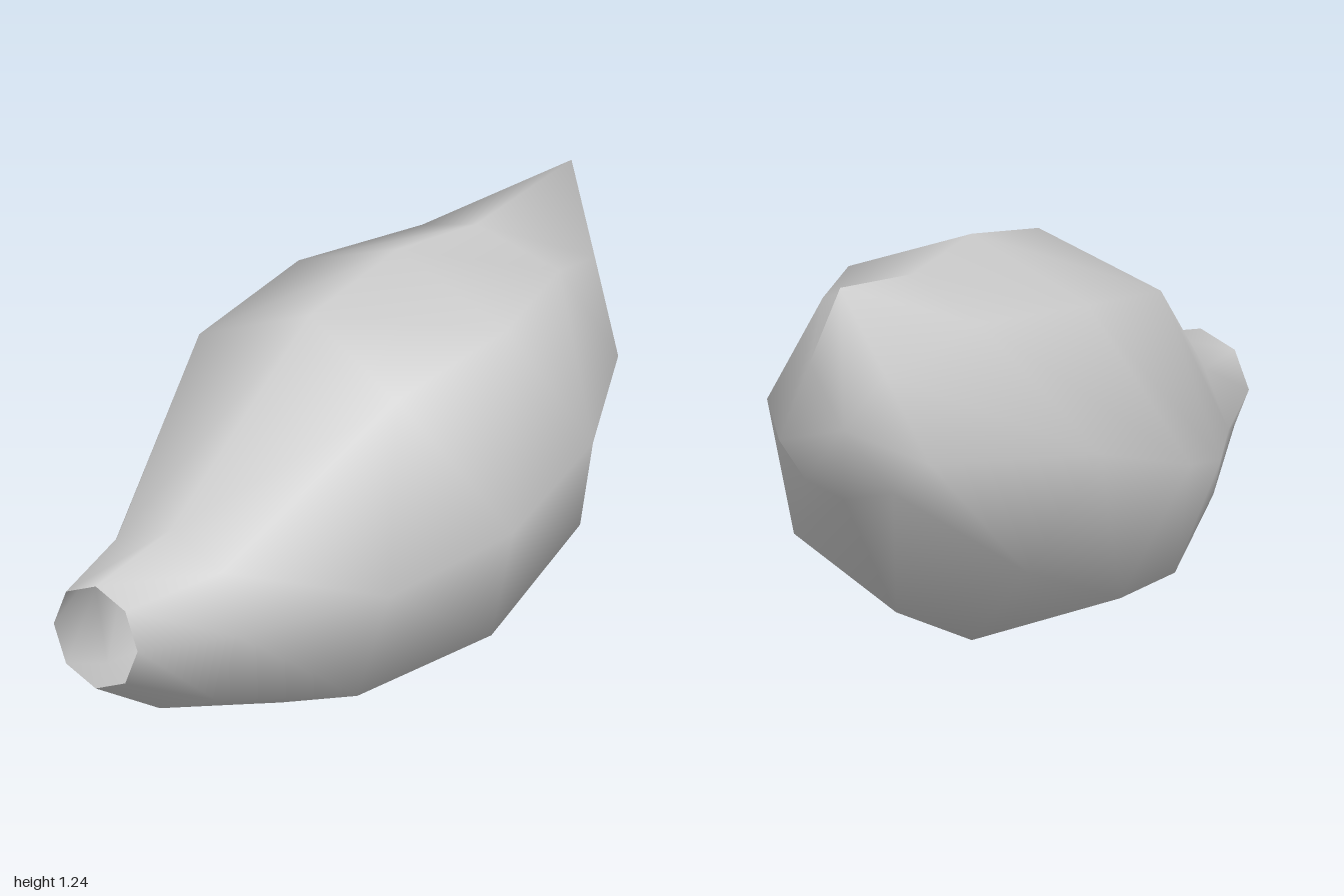
import * as THREE from 'three';

// Half cross-sections from front opening to back: top, upper diagonal, side, lower diagonal, bottom
const SECTIONS = [
  [[0, 0.595, 1], [0.108, 0.55, 1], [0.153, 0.442, 1], [0.108, 0.335, 1], [0, 0.29, 1]],
  [[0, 0.665, 0.68], [0.19, 0.59, 0.69], [0.26, 0.42, 0.7], [0.2, 0.22, 0.72], [0, 0.145, 0.73]],
  [[0, 1.12, 0.1], [0.36, 0.98, 0.15], [0.465, 0.47, 0.3], [0.33, 0.13, 0.28], [0, 0, 0.22]],
  [[0, 1.2, -0.27], [0.38, 1.055, -0.29], [0.587, 0.573, -0.08], [0.42, 0.19, -0.18], [0, 0.03, -0.27]],
  [[0, 1.17, -0.6], [0.25, 1.08, -0.66], [0.53, 0.7, -0.48], [0.37, 0.37, -0.61], [0, 0.22, -0.69]],
  [[0, 1.235, -1], [0.12, 0.99, -0.96], [0.24, 0.74, -0.92], [0.14, 0.65, -0.95], [0, 0.62, -0.98]],
];

// Mirror a half section into a closed eight-sided ring
function fullRing(half) {
  const mirrored = half.slice(1, -1).reverse().map(([x, y, z]) => [-x, y, z]);
  return [...half, ...mirrored];
}

function shellGeometry() {
  const sides = 8;
  const points = SECTIONS.flatMap(fullRing);
  const index = [];
  for (let i = 0; i < SECTIONS.length - 1; i++) {
    for (let j = 0; j < sides; j++) {
      const a = i * sides + j;
      const b = i * sides + ((j + 1) % sides);
      index.push(a, b, b + sides, a, b + sides, a + sides);
    }
  }
  // Closed back, fanned around its centre
  const last = (SECTIONS.length - 1) * sides;
  const centre = points.push([0, 0.82, -0.983]) - 1;
  for (let j = 0; j < sides; j++) {
    index.push(last + j, last + ((j + 1) % sides), centre);
  }
  const geometry = new THREE.BufferGeometry();
  geometry.setAttribute('position', new THREE.Float32BufferAttribute(points.flat(), 3));
  geometry.setIndex(index);
  geometry.computeVertexNormals();
  return geometry;
}

export function createModel() {
  const group = new THREE.Group();
  group.name = 'model';
  const grey = new THREE.MeshStandardMaterial({ color: 0xcccccc, side: THREE.DoubleSide });
  grey.name = 'light grey';

  // Hollow pod with an open front neck
  const shell = new THREE.Mesh(shellGeometry(), grey);
  shell.name = 'podShell';
  group.add(shell);
  return group;
}
